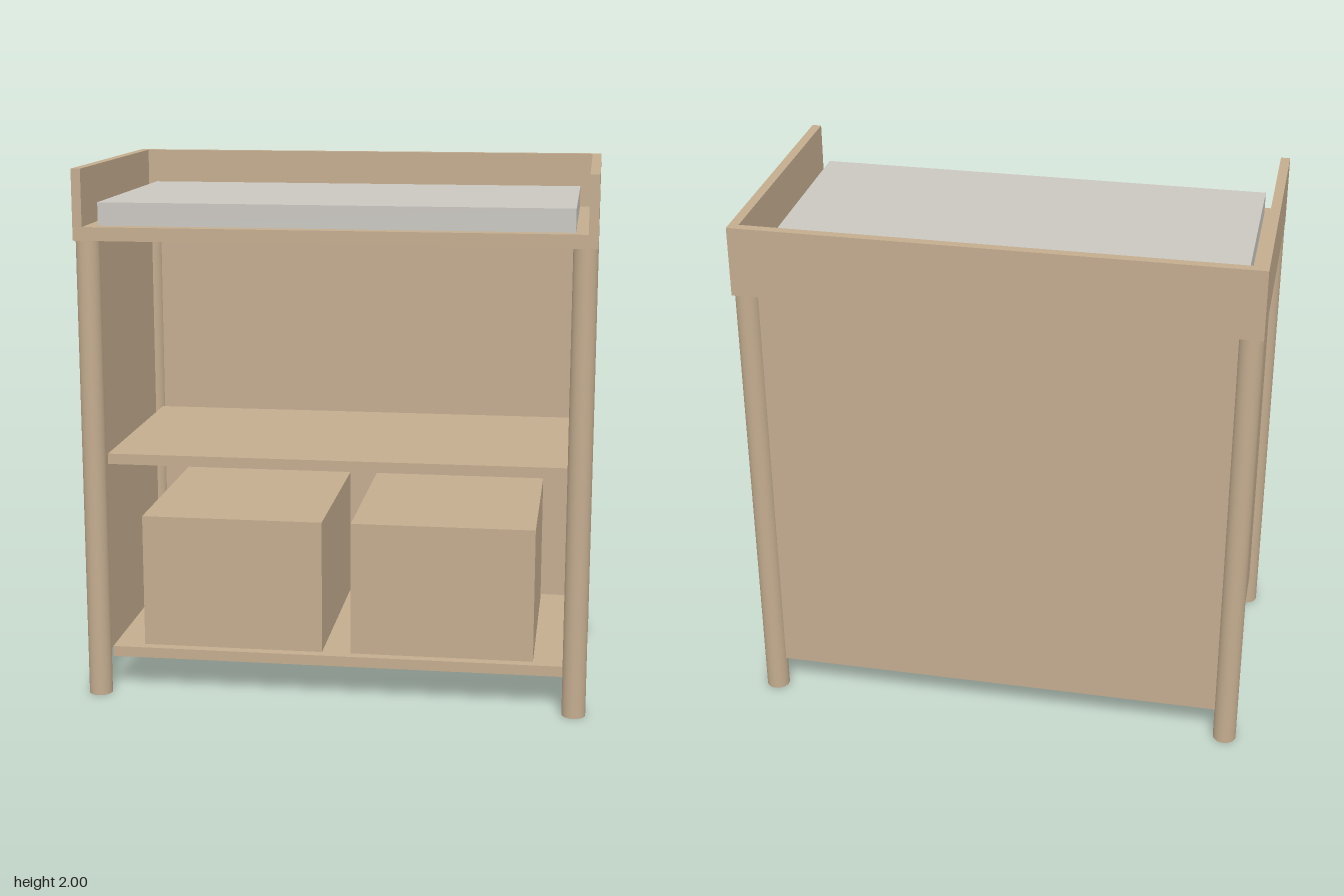
import * as THREE from 'three';

export function createModel() {
  const model = new THREE.Group();
  model.name = 'changingTable';

  const wood = new THREE.MeshStandardMaterial({ color: 0xc3ac8f });
  wood.name = 'light wood';
  const fabric = new THREE.MeshStandardMaterial({ color: 0xcac7c0 });
  fabric.name = 'pale grey pad';

  const add = (name, geometry, material, x, y, z) => {
    const mesh = new THREE.Mesh(geometry, material);
    mesh.name = name;
    mesh.position.set(x, y, z);
    model.add(mesh);
  };

  // Box given by its lower and upper limit on each axis
  const box = (name, [x0, x1], [y0, y1], [z0, z1], material = wood) =>
    add(name, new THREE.BoxGeometry(x1 - x0, y1 - y0, z1 - z0), material,
      (x0 + x1) / 2, (y0 + y1) / 2, (z0 + z1) / 2);

  const W = 0.945, D = 0.525;         // half width and half depth of the tray
  const wall = 0.035;                 // tray wall thickness
  const legR = 0.044, legX = W - legR, legZ = D - legR;
  const shelfX = 0.86, shelfZ = 0.44;
  const panel = 0.011;                // half panel thickness
  const panelY = [0.13, 1.74];

  // Round legs
  const legGeometry = new THREE.CylinderGeometry(legR, legR, 1.74, 32);
  for (const sx of [-1, 1])
    for (const sz of [-1, 1])
      add(`${sz > 0 ? 'front' : 'back'}${sx > 0 ? 'Left' : 'Right'}Leg`,
        legGeometry, wood, sx * legX, 0.87, sz * legZ);

  // Side panels, tray sides and storage boxes, mirrored
  for (const s of [-1, 1]) {
    const side = s > 0 ? 'left' : 'right';
    const span = (a, b) => (s > 0 ? [a, b] : [-b, -a]);
    box(`${side}Panel`, span(legX - panel, legX + panel), panelY, [-legZ, legZ]);
    box(`${side}TrayWall`, span(W - wall, W), [1.79, 2], [-D, D]);
    box(`${side}StorageBox`, span(0.055, 0.745), [0.17, 0.68], [-0.4, 0.4]);
  }

  // Back panel
  box('backPanel', [-legX, legX], panelY, [-legZ - panel, -legZ + panel]);

  // Shelves
  box('lowerShelf', [-shelfX, shelfX], [0.13, 0.17], [-shelfZ, shelfZ]);
  box('middleShelf', [-shelfX, shelfX], [0.89, 0.93], [-shelfZ, shelfZ]);

  // Tray, open at the front, with its pad
  box('trayBase', [-W, W], [1.74, 1.79], [-D, D]);
  box('backTrayWall', [-W + wall, W - wall], [1.79, 2], [-D, -D + wall]);
  box('pad', [-0.865, 0.865], [1.79, 1.875], [-0.44, 0.47], fabric);

  return model;
}
